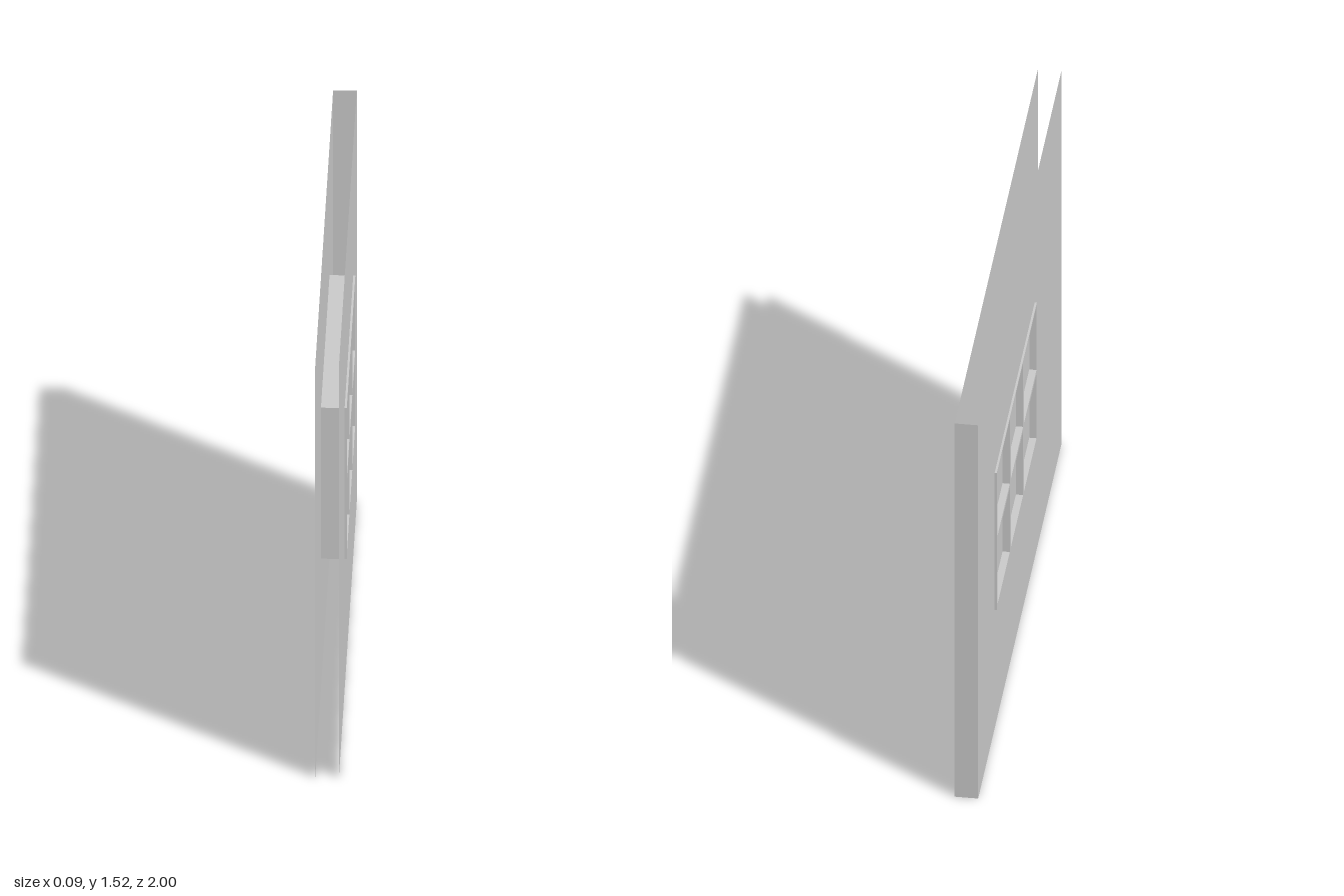
import * as THREE from 'three';

const material = new THREE.MeshStandardMaterial({ color: 0xcccccc, side: THREE.DoubleSide, flatShading: true });

// Shapes are drawn with z along the first axis and y along the second
function rectangle(Type, z0, z1, y0, y1) {
  return new Type([
    new THREE.Vector2(z0, y0), new THREE.Vector2(z1, y0),
    new THREE.Vector2(z1, y1), new THREE.Vector2(z0, y1), new THREE.Vector2(z0, y0),
  ]);
}

export function createModel() {
  const group = new THREE.Group();
  const add = (name, geometry, x = 0, y = 0, z = 0) => {
    const mesh = new THREE.Mesh(geometry, material);
    mesh.name = name;
    mesh.position.set(x, y, z);
    group.add(mesh);
  };

  const height = 1.52, wallX = 0.039, frameX = 0.046, glassX = 0.022;
  const opening = [-0.602, 0.36, 0.482, 1.04];

  // Two thin wall sheets with the window opening
  const sheet = rectangle(THREE.Shape, -1, 1, 0, height);
  sheet.holes.push(rectangle(THREE.Path, ...opening));
  for (const [name, side] of [['leftWallSheet', 1], ['rightWallSheet', -1]]) {
    const geometry = new THREE.ShapeGeometry(sheet);
    geometry.rotateY(-Math.PI / 2);
    if (side > 0) geometry.scale(-1, 1, 1);
    add(name, geometry, side * wallX);
  }

  // Closed rear end; top, bottom and front of the wall stay open
  const end = new THREE.PlaneGeometry(wallX * 2, height);
  end.rotateY(Math.PI);
  add('wallEnd', end, 0, height / 2, -1);

  // Window frame with bars: one slab with six pane openings
  const frame = rectangle(THREE.Shape, ...opening);
  const paneWidth = 0.295, paneHeight = 0.262;
  for (const z of [-0.585, -0.2635, 0.0575]) {
    for (const y of [0.493, 0.771]) {
      frame.holes.push(rectangle(THREE.Path, z, z + paneWidth, y, y + paneHeight));
      add('windowPane', new THREE.BoxGeometry(glassX * 2, paneHeight, paneWidth),
        0, y + paneHeight / 2, z + paneWidth / 2);
    }
  }
  const frameGeometry = new THREE.ExtrudeGeometry(frame, { depth: frameX * 2, bevelEnabled: false });
  frameGeometry.translate(0, 0, -frameX);
  frameGeometry.rotateY(-Math.PI / 2);
  add('windowFrame', frameGeometry);

  return group;
}
